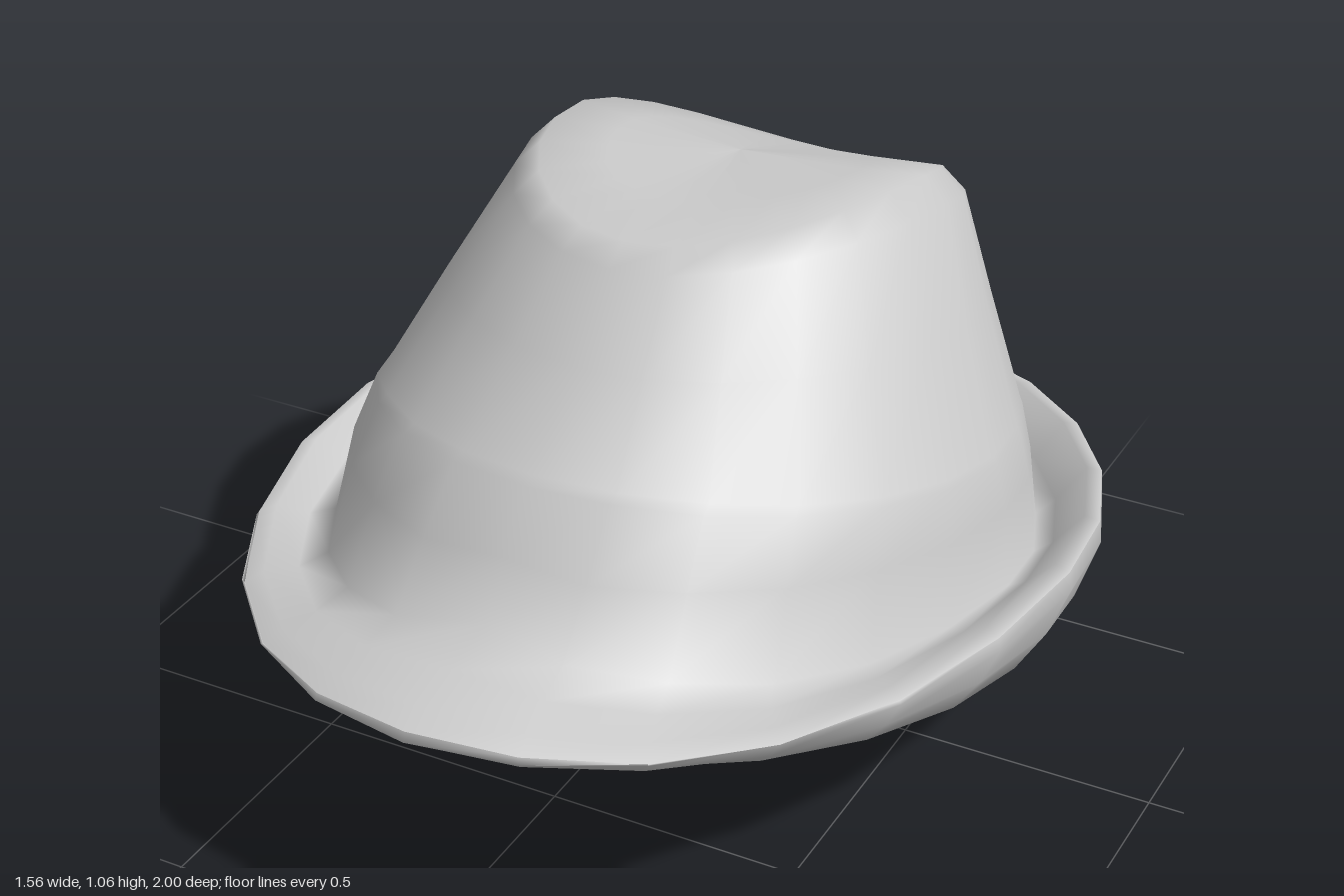
import * as THREE from 'three';

const SIDES = 24;

// Oval ring: half width w, front and back z, z of the widest point,
// and heights at the front, at the widest point and at the back.
const ring = (w, zFront, zBack, zMid, yFront, yMid, yBack, shape) => {
  const points = [];
  for (let i = 0; i < SIDES; i++) {
    const t = (i / SIDES) * Math.PI * 2;
    const s = Math.sin(t), c = Math.cos(t);
    const p = new THREE.Vector3(
      w * s,
      yMid + ((yFront - yBack) / 2) * c + ((yFront + yBack) / 2 - yMid) * c * c,
      zMid + c * (c > 0 ? zFront - zMid : zMid - zBack)
    );
    if (shape) shape(p, c, i);
    points.push(p);
  }
  return points;
};
const point = (y, z) => ring(0, z, z, z, y, y, y);

// Lowers a ring on both sides of the front and presses in its middle
const dent = (sag, pinch) => (p, c, i) => {
  if (c > 0) p.y -= sag * 4 * c * c * (1 - c * c);
  if (i === 0) p.z -= pinch;
};

// Smooth skin over rings listed from the bottom outside to the top
function skin(name, rings, material) {
  const positions = rings.flat().flatMap((p) => p.toArray());
  const index = [];
  for (let j = 0; j < rings.length - 1; j++) {
    for (let i = 0; i < SIDES; i++) {
      const k = (i + 1) % SIDES;
      const a = j * SIDES + i, b = j * SIDES + k;
      index.push(a, b, b + SIDES, a, b + SIDES, a + SIDES);
    }
  }
  const geometry = new THREE.BufferGeometry();
  geometry.setAttribute('position', new THREE.Float32BufferAttribute(positions, 3));
  geometry.setIndex(index);
  geometry.computeVertexNormals();
  const mesh = new THREE.Mesh(geometry, material);
  mesh.name = name;
  return mesh;
}

export function createModel() {
  const felt = new THREE.MeshStandardMaterial({ color: 0xcccccc, side: THREE.DoubleSide });
  const hat = new THREE.Group();
  hat.name = 'hat';
  const rim = ring(0.775, 0.995, -1, -0.1, 0.47, 0.39, 0.29, dent(0.03, 0));

  // Brim: flat sloping underside, turned up at the back, thin at the front
  hat.add(skin('brim', [
    point(0.22, 0.045),
    ring(0.67, 0.87, -0.79, 0, 0.406, 0.215, 0.012),
    ring(0.715, 0.93, -0.84, 0, 0.42, 0.215, 0),
    ring(0.755, 0.98, -0.9, -0.05, 0.435, 0.275, 0.06),
    ring(0.78, 1, -1, -0.1, 0.45, 0.35, 0.22),
    rim,
  ], felt));

  // Crown: rises from the groove inside the rim to a sloping top
  hat.add(skin('crown', [
    rim,
    ring(0.745, 0.95, -0.965, -0.1, 0.49, 0.4, 0.3, dent(0.035, 0)),
    // groove, shallow at the front and deeper at the sides and back
    ring(0.69, 0.87, -0.89, -0.1, 0.507, 0.345, 0.235, dent(0.035, 0.02)),
    ring(0.655, 0.78, -0.835, -0.1, 0.525, 0.325, 0.21, dent(0.035, 0.06)),
    // band with a raised edge that fades out at the sides
    ring(0.636, 0.68, -0.8, -0.11, 0.62, 0.48, 0.36, dent(0, 0.03)),
    ring(0.61, 0.58, -0.792, -0.12, 0.73, 0.57, 0.46),
    ring(0.602, 0.548, -0.79, -0.12, 0.735, 0.585, 0.48),
    // leaning sides
    ring(0.505, 0.4, -0.772, -0.2, 0.88, 0.79, 0.64),
    ring(0.412, 0.265, -0.748, -0.3, 1.01, 0.985, 0.785),
    // rounded shoulder and nearly flat top
    ring(0.365, 0.21, -0.705, -0.3, 1.042, 1.035, 0.835),
    ring(0.24, 0.05, -0.52, -0.28, 1.052, 1.03, 0.93),
    point(1.025, -0.26),
  ], felt));

  return hat;
}
